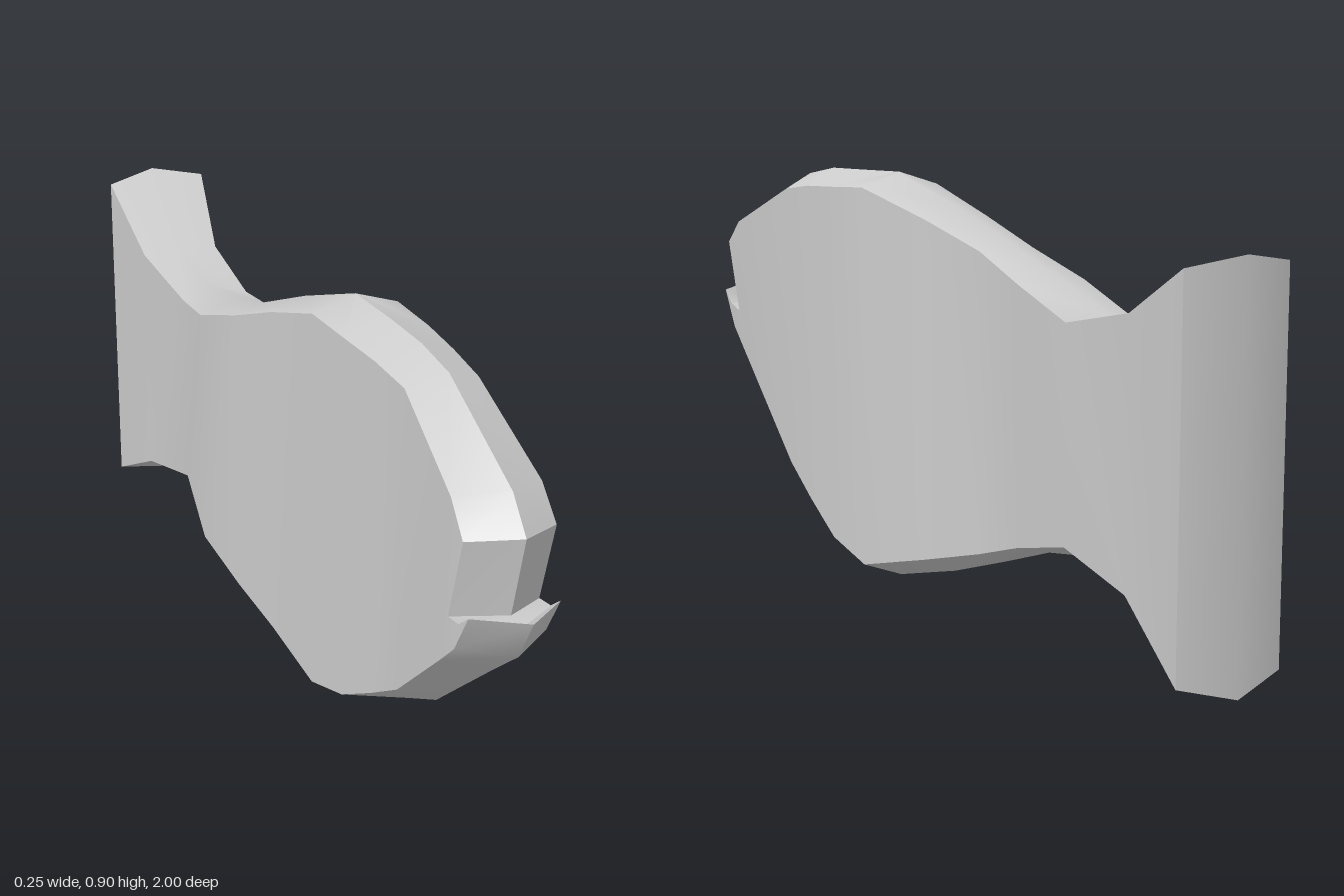
import * as THREE from 'three';
import { toCreasedNormals } from 'three/addons/utils/BufferGeometryUtils.js';

// Swimming wave of each flank: [z, x]
const RIGHT = [[-0.97, -0.113], [-0.74, -0.108], [-0.53, -0.088], [-0.29, -0.13], [-0.05, -0.088],
  [0.19, -0.066], [0.53, -0.033], [0.85, -0.083], [0.93, -0.09]];
const LEFT = [[-0.97, 0.12], [-0.73, 0.067], [-0.53, 0.066], [-0.34, 0.035], [-0.14, 0.025],
  [0, 0.07], [0.18, 0.12], [0.27, 0.128], [0.53, 0.12], [0.86, 0.102], [0.93, 0.094]];

// Body columns, tail to head: [flank z, flank top, flank bottom, ridge z top, ridge top, ridge z bottom, ridge bottom]
const COLUMNS = [
  [-0.97, 0.82, 0.07, -1, 0.84, -1, 0.04],
  [-0.74, 0.71, 0.18, -0.74, 0.715, -0.76, 0.165],
  [-0.53, 0.665, 0.225, -0.59, 0.675, -0.59, 0.205],
  [-0.31, 0.71, 0.17, -0.31, 0.73, -0.31, 0.15],
  [-0.15, 0.76, 0.12, -0.15, 0.78, -0.15, 0.095],
  [0, 0.815, 0.08, 0, 0.84, 0, 0.045],
  [0.18, 0.87, 0.035, 0.18, 0.9, 0.18, 0],
  [0.31, 0.862, 0.07, 0.32, 0.895, 0.32, 0.05],
  [0.43, 0.855, 0.135, 0.46, 0.89, 0.44, 0.11],
  [0.54, 0.84, 0.2, 0.57, 0.87, 0.56, 0.17],
  [0.81, 0.74, 0.415, 0.87, 0.76, 0.85, 0.397],
];

// Mouth outline from chin to snout: [flank z, flank y, ridge z, ridge y]
const MOUTH = [
  [0.88, 0.475, 0.95, 0.475],
  [0.93, 0.56, 1, 0.565],
  [0.89, 0.53, 0.95, 0.53],
  [0.84, 0.52, 0.905, 0.535],
  [0.88, 0.685, 0.94, 0.7],
];

function waveAt(curve, z) {
  if (z <= curve[0][0]) return curve[0][1];
  for (let i = 1; i < curve.length; i++) {
    const [z0, x0] = curve[i - 1], [z1, x1] = curve[i];
    if (z <= z1) return x0 + (x1 - x0) * (z - z0) / (z1 - z0);
  }
  return curve[curve.length - 1][1];
}

// The head leans a little towards its left at the top
const lean = (z, y) => 0.14 * (y - 0.5) * Math.max(0, z - 0.5);

function fishGeometry() {
  const outline = [
    ...COLUMNS.map((c) => [c[0], c[2], c[5], c[6]]),
    ...MOUTH,
    ...COLUMNS.map((c) => [c[0], c[1], c[3], c[4]]).reverse(),
  ];
  const n = outline.length, last = COLUMNS.length - 1;
  const flank = (curve) => outline.map(([z, y]) => [waveAt(curve, z) + lean(z, y), y, z]);
  const right = flank(RIGHT), left = flank(LEFT);
  const ridge = outline.map(([, , z, y], i) => [(right[i][0] + left[i][0]) / 2, y, z]);

  const positions = [];
  const tri = (a, b, c, flip) => positions.push(...a, ...(flip ? c : b), ...(flip ? b : c));

  for (const [side, flip] of [[right, false], [left, true]]) {
    // flank panels between neighbouring columns
    for (let i = 0; i < last; i++) {
      tri(side[i], side[i + 1], side[n - 2 - i], flip);
      tri(side[i], side[n - 2 - i], side[n - 1 - i], flip);
    }
    // cheek and jaws around the mouth corner
    const [throat, chin, lip, inner, corner, snout, brow] = side.slice(last, last + 7);
    tri(corner, brow, throat, flip);
    tri(corner, throat, chin, flip);
    tri(corner, chin, inner, flip);
    tri(inner, chin, lip, flip);
    tri(corner, snout, brow, flip);
    // bevelled rim from flank to ridge, all the way round
    for (let i = 0; i < n; i++) {
      const j = (i + 1) % n;
      tri(side[i], ridge[i], ridge[j], flip);
      tri(side[i], ridge[j], side[j], flip);
    }
  }
  const geometry = new THREE.BufferGeometry();
  geometry.setAttribute('position', new THREE.Float32BufferAttribute(positions, 3));
  return toCreasedNormals(geometry, 0.7);
}

export function createModel() {
  const grey = new THREE.MeshStandardMaterial({ color: 0xcccccc });
  grey.name = 'plain grey';
  const body = new THREE.Mesh(fishGeometry(), grey);
  body.name = 'fishBody';
  const model = new THREE.Group();
  model.name = 'fish';
  model.add(body);
  return model;
}
